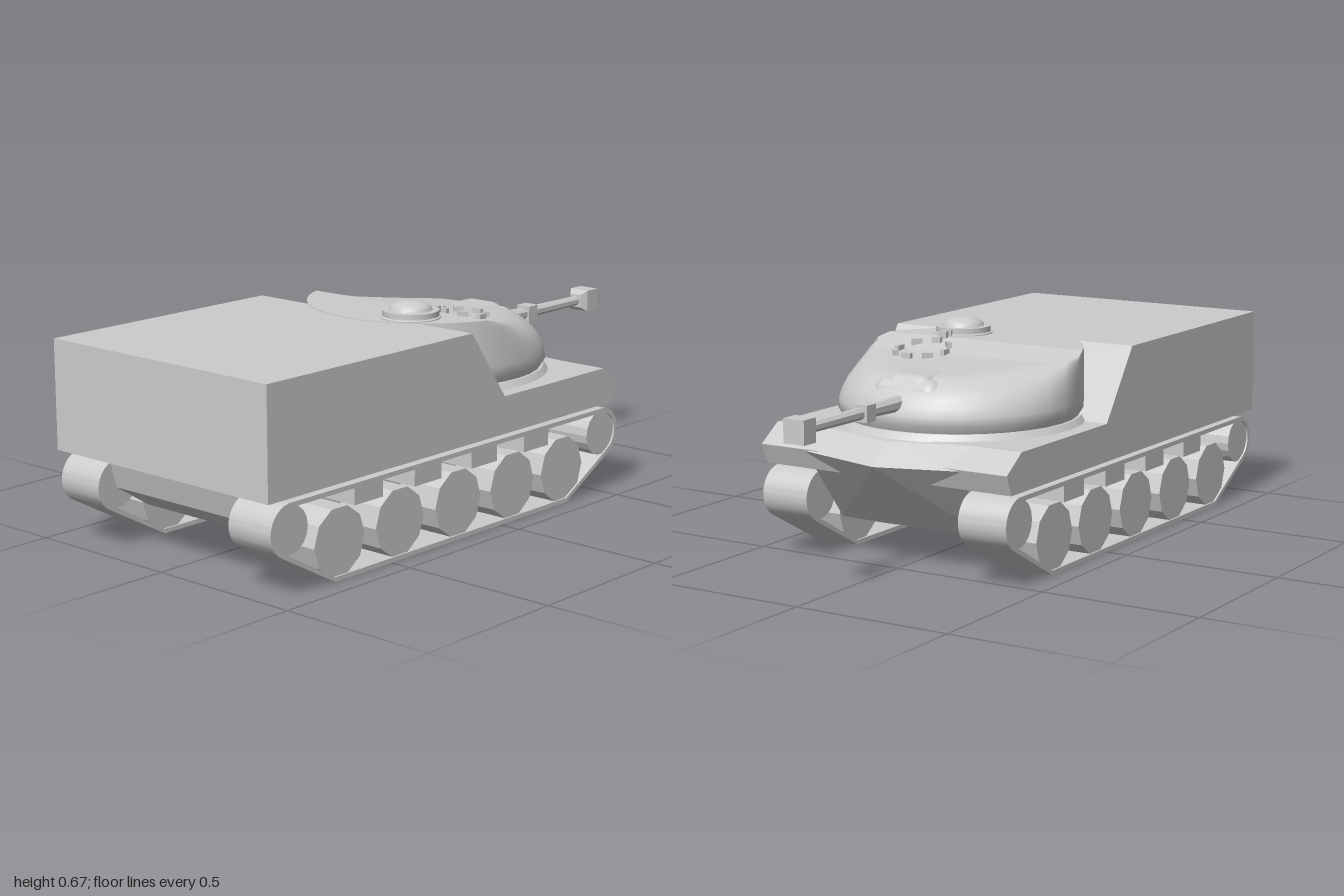
import * as THREE from 'three';
import { toCreasedNormals } from 'three/addons/utils/BufferGeometryUtils.js';
import { RoundedBoxGeometry } from 'three/addons/geometries/RoundedBoxGeometry.js';
import { ConvexGeometry } from 'three/addons/geometries/ConvexGeometry.js';

const smooth = new THREE.MeshStandardMaterial({ color: 0xcccccc });
const flat = new THREE.MeshStandardMaterial({ color: 0xcccccc, flatShading: true });
const open = new THREE.MeshStandardMaterial({ color: 0xcccccc, side: THREE.DoubleSide });

function add(parent, name, geometry, material = flat, x = 0, y = 0, z = 0) {
  const mesh = new THREE.Mesh(geometry, material);
  mesh.name = name;
  mesh.position.set(x, y, z);
  parent.add(mesh);
  return mesh;
}

// Extrudes a (z, y) side profile across x, centred on x = 0
function sideExtrude(shape, width) {
  const g = new THREE.ExtrudeGeometry(shape, { depth: width, bevelEnabled: false, curveSegments: 12 });
  return g.rotateY(-Math.PI / 2).translate(width / 2, 0, 0);
}

// Indexed surface from rows of [x, y, z] points
function loft(rows) {
  const n = rows[0].length, index = [];
  for (let i = 0; i < rows.length - 1; i++) {
    for (let j = 0; j < n - 1; j++) {
      const a = i * n + j, b = a + n;
      index.push(a, b, a + 1, b, b + 1, a + 1);
    }
  }
  const g = new THREE.BufferGeometry();
  g.setAttribute('position', new THREE.Float32BufferAttribute(rows.flat(2), 3));
  g.setIndex(index);
  g.computeVertexNormals();
  return g;
}

function buildHull(root) {
  // Casemate, sloped front and fenders
  const profile = [[1, 0.283], [1, 0.617], [0.145, 0.617], [-0.01, 0.4], [-0.505, 0.4], [-0.585, 0.345], [-0.56, 0.283]];
  const shape = new THREE.Shape(profile.map(p => new THREE.Vector2(...p)));
  add(root, 'upperHull', sideExtrude(shape, 0.864));

  // Belly with the pointed nose
  const pts = [new THREE.Vector3(0, 0.393, -0.55), new THREE.Vector3(0, 0.33, -0.625)];
  for (const s of [-1, 1]) {
    for (const [y, z] of [[0.4, -0.505], [0.34, -0.585], [0.105, -0.4], [0.105, 0.8], [0.183, 0.92], [0.29, 0.95]]) {
      pts.push(new THREE.Vector3(s * 0.268, y, z));
    }
  }
  add(root, 'lowerHull', new ConvexGeometry(pts));
}

// Closed track outline, moved inward by d
function trackPath(Type, d) {
  const p = new Type(), a = 62 * Math.PI / 180, r = 0.08 - d;
  p.moveTo(-0.325, d);
  p.lineTo(0.735, d);
  p.absarc(0.91, 0.19, r, -a, Math.PI / 2, false);
  p.absarc(-0.505, 0.19, r, Math.PI / 2, Math.PI + a, false);
  p.closePath();
  return p;
}

function buildTrack(side) {
  const g = new THREE.Group();
  g.name = side > 0 ? 'leftTrack' : 'rightTrack';
  g.position.x = side * 0.349;
  const band = trackPath(THREE.Shape, 0);
  band.holes.push(trackPath(THREE.Path, 0.014));
  add(g, 'trackBand', toCreasedNormals(sideExtrude(band, 0.162), 0.5), smooth);

  const wheel = (name, r, sides, y, z) =>
    add(g, name, new THREE.CylinderGeometry(r, r, 0.15, sides).rotateZ(Math.PI / 2), flat, 0, y, z);
  wheel('rearSprocket', 0.072, 18, 0.19, 0.91);
  wheel('frontIdler', 0.072, 18, 0.19, -0.505);
  const wheelZ = [0.71, 0.455, 0.195, -0.06, -0.305];
  wheelZ.forEach((z, i) => {
    wheel('roadWheel', 0.104, 10, 0.112, z);
    // Support block between neighbouring wheels
    if (i < 4) add(g, 'returnSupport', new THREE.BoxGeometry(0.14, 0.062, 0.12), flat, 0, 0.232, (z + wheelZ[i + 1]) / 2);
  });
  return g;
}

// Roof height falls towards the gun in three bands
function roofY(z) {
  if (z >= -0.02) return 0.619;
  if (z >= -0.13) return 0.619 + (z + 0.02) * 0.27;
  return 0.589 + (z + 0.13) * 0.08;
}

function buildTurret() {
  const g = new THREE.Group();
  g.name = 'turret';
  const R = 0.375, cz = -0.15, rim = [];

  // Half outline of the roof, rear to front, each with its angle on the base ring
  for (let i = 0; i <= 10; i++) {
    const a = i / 10 * 1.22;
    rim.push([R * Math.sin(a), cz + R * Math.cos(a), a]);
  }
  const front = [[0.365, -0.065], [0.34, -0.1], [0.3, -0.13], [0.25, -0.165], [0.205, -0.21], [0.17, -0.26],
    [0.148, -0.31], [0.12, -0.35], [0.06, -0.365], [0, -0.37]];
  front.forEach(([x, z], i) => rim.push([x, z, 1.22 + (Math.PI - 1.22) * (i + 1) / front.length]));

  // Roof as strips across, with the bends kept sharp
  const roof = rim.map(([x, z]) => [1, 0, -1].map(s => [s * x, roofY(z), z]));
  add(g, 'turretRoof', toCreasedNormals(loft(roof), 0.1), open);

  // Walls: upright at the rear, swelling into rounded cheeks at the front
  const ring = rim.concat(rim.slice(1, -1).reverse().map(([x, z, a]) => [-x, z, 2 * Math.PI - a]), [rim[0]]);
  const rows = [];
  for (let k = 0; k <= 8; k++) {
    const t = k / 8 * Math.PI / 2, h = Math.sin(t), v = 1 - Math.cos(t);
    rows.push(ring.map(([x, z, a]) => {
      const top = roofY(z);
      return [x + (R * Math.sin(a) - x) * h, top + (0.44 - top) * v, z + (cz + R * Math.cos(a) - z) * h];
    }));
  }
  rows.push(ring.map(([, , a]) => [0.35 * Math.sin(a), 0.4, cz + 0.35 * Math.cos(a)]));
  add(g, 'turretWall', loft(rows), open);
  add(g, 'turretRing', toCreasedNormals(new THREE.CylinderGeometry(0.37, 0.385, 0.02, 48), 0.5), smooth, 0, 0.408, cz);

  // Domed cupola
  const cupola = [[0.093, 0.615], [0.093, 0.622], [0.087, 0.625], [0.087, 0.642], [0.066, 0.642]];
  for (let i = 1; i <= 6; i++) {
    const a = i / 6 * Math.PI / 2;
    cupola.push([0.066 * Math.cos(a), 0.642 + 0.028 * Math.sin(a)]);
  }
  const lathe = new THREE.LatheGeometry(cupola.map(p => new THREE.Vector2(...p)), 28);
  add(g, 'cupola', toCreasedNormals(lathe, 0.6), open, 0.145, 0, 0.09);

  // Roof hatch ringed by vision blocks
  for (let i = 0; i < 8; i++) {
    const a = i / 8 * Math.PI * 2, z = -0.145 + 0.083 * Math.cos(a);
    const block = add(g, 'visionBlock', new THREE.BoxGeometry(0.032, 0.024, 0.014), flat, 0.145 + 0.083 * Math.sin(a), roofY(z) + 0.004, z);
    block.rotation.y = a;
  }
  for (const z of [-0.025, 0.002]) {
    add(g, 'periscope', new THREE.BoxGeometry(0.03, 0.024, 0.014), flat, 0.145, roofY(z) + 0.008, z);
  }
  return g;
}

function buildGun() {
  const g = new THREE.Group();
  g.name = 'gun';
  g.position.y = 0.497;
  // Mantlet with a narrower neck running back into the turret
  add(g, 'mantlet', new RoundedBoxGeometry(0.235, 0.105, 0.12, 5, 0.045), smooth, 0, 0.013, -0.415);
  add(g, 'mantletNeck', new RoundedBoxGeometry(0.16, 0.1, 0.2, 4, 0.04), smooth, 0, 0.027, -0.36);

  // Lengths of barrel: name, front z, rear z, front radius, rear radius, sides
  const parts = [
    ['barrelRoot', -0.65, -0.46, 0.019, 0.026, 8],
    ['barrel', -0.95, -0.65, 0.016, 0.019, 8],
    ['barrelCollar', -0.685, -0.64, 0.036, 0.036, 4],
    ['muzzleTaper', -0.945, -0.925, 0.05, 0.03, 4],
    ['muzzleBrake', -1, -0.945, 0.05, 0.05, 4],
  ];
  for (const [name, z0, z1, r0, r1, sides] of parts) {
    const geo = new THREE.CylinderGeometry(r1, r0, z1 - z0, sides).rotateY(Math.PI / sides).rotateX(Math.PI / 2);
    add(g, name, geo, flat, 0, 0, (z0 + z1) / 2);
  }
  return g;
}

export function createModel() {
  const root = new THREE.Group();
  root.name = 'armouredVehicle';
  buildHull(root);
  root.add(buildTrack(1), buildTrack(-1), buildTurret(), buildGun());
  return root;
}
